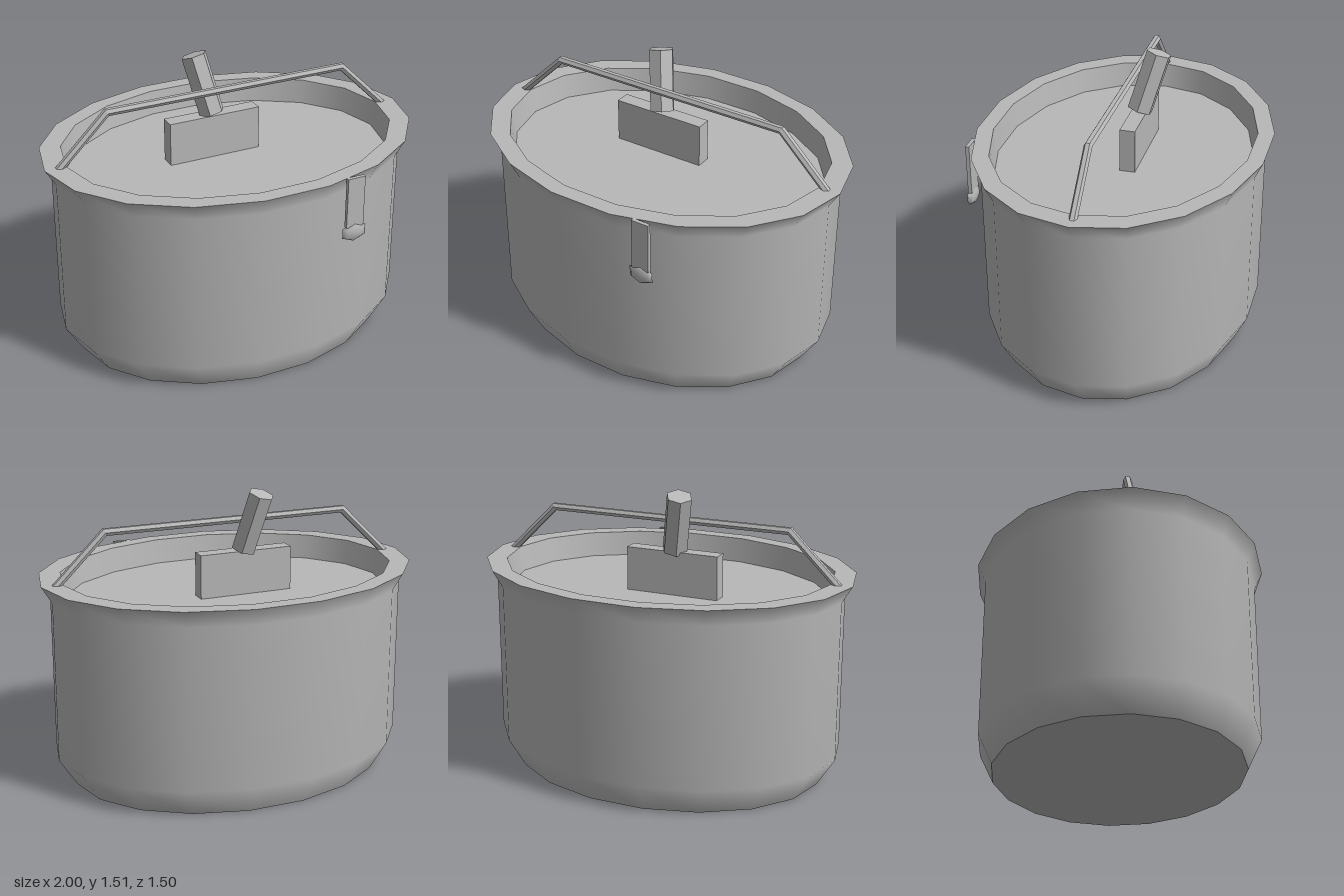
import * as THREE from 'three';

const metal = new THREE.MeshStandardMaterial({ color: 0xb8b8b8 });
metal.name = 'grey metal';

function add(parent, geometry, name) {
  const mesh = new THREE.Mesh(geometry, metal);
  mesh.name = name;
  parent.add(mesh);
  return mesh;
}

const flat = (geometry) => {
  const g = geometry.index ? geometry.toNonIndexed() : geometry;
  g.computeVertexNormals();
  return g;
};

// Oval ring surface, 18 sides, from [radius, y] points
function ovalLathe(points) {
  const profile = points.map(([r, y]) => new THREE.Vector2(r, y));
  const g = new THREE.LatheGeometry(profile, 18, Math.PI / 2);
  return g.scale(1, 1, 0.762);
}

// Hexagonal bar following four mitred stations
function handleGeometry() {
  const diag = Math.SQRT1_2, miter = Math.tan(Math.PI / 8);
  const stations = [ // x, y, offset direction x, y
    [-0.952, 1.055, -diag, diag],
    [-0.664, 1.337, -miter, 1],
    [0.664, 1.337, miter, 1],
    [0.952, 1.055, diag, diag],
  ];
  const positions = [], indices = [];
  for (const [x, y, nx, ny] of stations) {
    for (let k = 0; k < 6; k++) {
      const a = k * Math.PI / 3, t = Math.sin(a) * 0.0202;
      positions.push(x + nx * t, y + ny * t, Math.cos(a) * 0.021);
    }
  }
  for (let s = 0; s < 3; s++) {
    for (let k = 0; k < 6; k++) {
      const a = s * 6 + k, b = s * 6 + (k + 1) % 6;
      indices.push(a, a + 6, b, b, a + 6, b + 6);
    }
  }
  const g = new THREE.BufferGeometry();
  g.setAttribute('position', new THREE.Float32BufferAttribute(positions, 3));
  g.setIndex(indices);
  return flat(g);
}

export function createModel() {
  const model = new THREE.Group();
  model.name = 'oval pot';

  // Pot shell, split where the edges are sharp
  const pot = new THREE.Group();
  pot.name = 'pot';
  model.add(pot);
  add(pot, ovalLathe([[0, 0], [0.85, 0]]), 'base');
  add(pot, ovalLathe([[0.85, 0], [0.945, 0.15], [0.945, 1.0], [1, 1.09]]), 'outerWall');
  add(pot, ovalLathe([[1, 1.09], [0.888, 1.09]]), 'rim');
  add(pot, ovalLathe([[0.888, 1.09], [0.865, 0.96]]), 'innerWall');
  add(pot, ovalLathe([[0.865, 0.96], [0, 0.96]]), 'lid');

  // Carrying handle
  add(model, handleGeometry(), 'handle');

  // Lid grip: upright block with a leaning hexagonal peg
  const block = add(model, new THREE.BoxGeometry(0.505, 0.24, 0.08), 'lidBlock');
  block.position.set(-0.065, 1.07, -0.06);

  const low = new THREE.Vector3(-0.066, 1.192, -0.06);
  const high = new THREE.Vector3(-0.127, 1.492, -0.143);
  const pegGeometry = new THREE.CylinderGeometry(0.068, 0.068, low.distanceTo(high), 6, 1, false, Math.PI / 6);
  const peg = add(model, flat(pegGeometry), 'lidPeg');
  peg.position.copy(low).add(high).multiplyScalar(0.5);
  peg.quaternion.setFromUnitVectors(new THREE.Vector3(0, 1, 0), high.clone().sub(low).normalize());

  // Hanging strap with a rounded tip on the front
  const strap = add(model, new THREE.BoxGeometry(0.095, 0.27, 0.02), 'strap');
  strap.position.set(0.333, 0.955, 0.726);
  const tip = new THREE.SphereGeometry(1, 6, 4);
  tip.rotateX(Math.PI / 2).rotateZ(Math.PI / 6).scale(0.075, 0.053, 0.022);
  add(model, tip, 'strapTip').position.set(0.333, 0.79, 0.728);

  return model;
}
